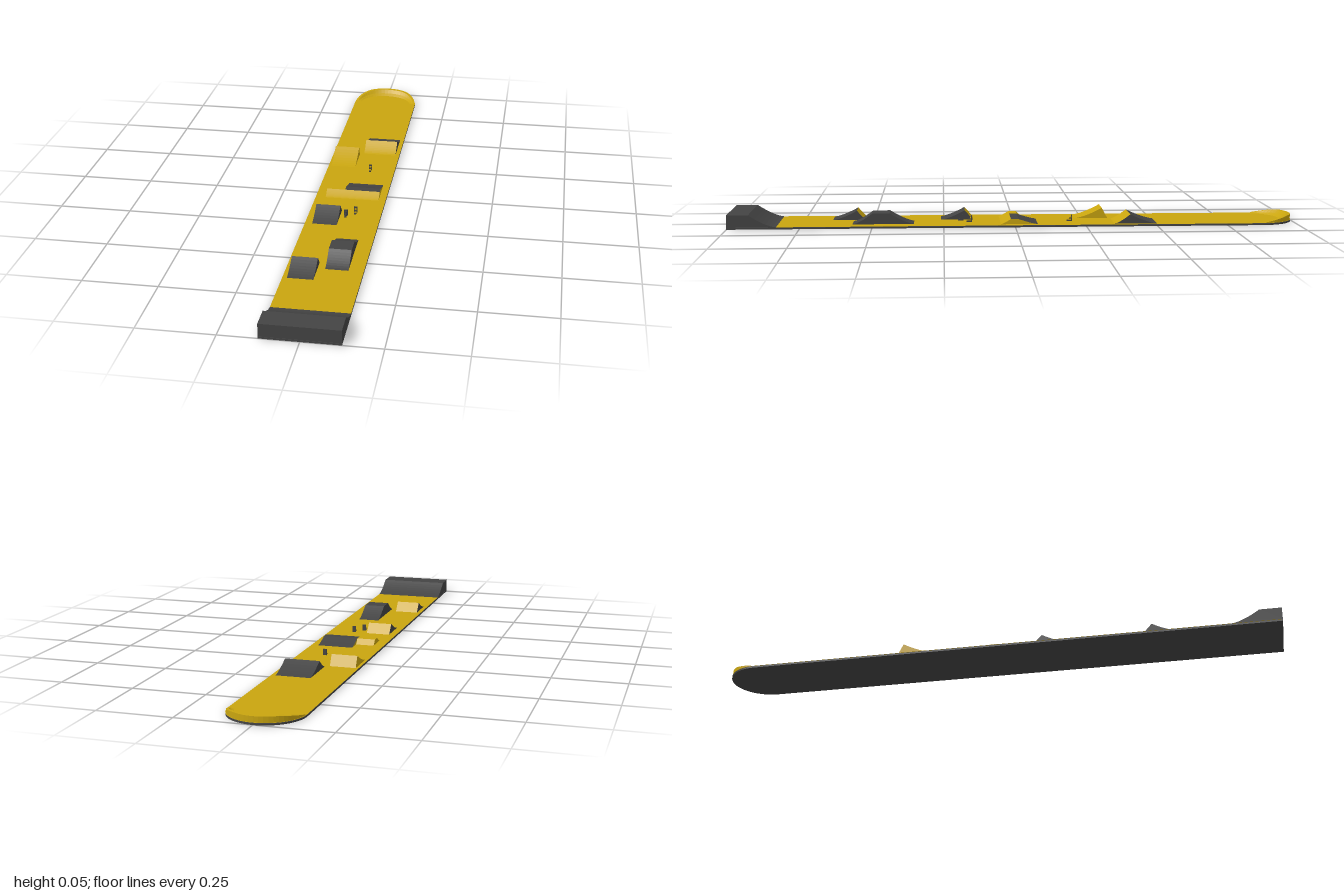
import * as THREE from 'three';

const DECK = 0.007; // deck thickness
const mat = (color) => new THREE.MeshStandardMaterial({ color, flatShading: true, side: THREE.DoubleSide });

export function createModel() {
  const group = new THREE.Group();
  const yellow = mat(0xc9a50f);
  const dark = mat(0x444444);

  const add = (name, geometry, material, parent = group) => {
    const mesh = new THREE.Mesh(geometry, material);
    mesh.name = name;
    parent.add(mesh);
    return mesh;
  };

  // Grid surface from a point function p(i, j)
  const surface = (rows, cols, p) => {
    const pos = [], idx = [];
    for (let i = 0; i <= rows; i++) for (let j = 0; j <= cols; j++) pos.push(...p(i, j));
    for (let i = 0; i < rows; i++) for (let j = 0; j < cols; j++) {
      const a = i * (cols + 1) + j, b = a + cols + 1;
      idx.push(a, b, a + 1, b, b + 1, a + 1);
    }
    const g = new THREE.BufferGeometry();
    g.setAttribute('position', new THREE.Float32BufferAttribute(pos, 3));
    g.setIndex(idx);
    g.computeVertexNormals();
    return g;
  };

  // Deck: long board with a rounded far end, yellow on top, dark below
  const R = 0.125;
  const outline = new THREE.Shape();
  outline.moveTo(-R, -1);
  outline.lineTo(R, -1);
  outline.lineTo(R, 1 - R);
  outline.absarc(0, 1 - R, R, 0, Math.PI, false);
  outline.closePath();
  const deck = new THREE.ExtrudeGeometry(outline, { depth: DECK - 0.001, bevelEnabled: false, curveSegments: 32 });
  add('deckBase', deck.rotateX(-Math.PI / 2), dark);
  const top = new THREE.ShapeGeometry(outline, 32).rotateX(-Math.PI / 2).translate(0, DECK, 0);
  add('deckSurface', top, yellow);

  // Ramp across x0..x1: toe, crest, crest, toe along z, with curved or straight faces
  const ramp = (name, o) => {
    const part = new THREE.Group();
    part.name = name;
    group.add(part);
    const face = (toe, crest, power) => {
      const n = power === 1 ? 1 : 8, pts = [];
      for (let i = 0; i <= n; i++) {
        const t = i / n;
        pts.push([toe + (crest - toe) * t, DECK + (o.h - DECK) * t ** power]);
      }
      return pts;
    };
    const [z0, z1, z2, z3] = o.z;
    const [x0, x1] = o.x;
    const front = face(z0, z1, o.front ?? 1);
    const back = face(z3, z2, o.back ?? 1).reverse();
    const strip = (pts) => surface(pts.length - 1, 1, (i, j) => [j ? x1 : x0, pts[i][1], pts[i][0]]);
    add('frontFace', strip(front), o.colors[0], part);
    if (z1 !== z2) add('tableTop', strip([[z1, o.h], [z2, o.h]]), o.colors[1], part);
    add('backFace', strip(back), o.colors[1], part);
    const profile = new THREE.Shape([...front, ...back].map(([z, y]) => new THREE.Vector2(z, y)));
    for (const x of [x0, x1]) {
      add('sideWall', new THREE.ShapeGeometry(profile).rotateY(-Math.PI / 2).translate(x, 0, 0), o.colors[2], part);
    }
  };

  ramp('startPlatform', { x: [-R, R], z: [1, 1, 0.925, 0.83], h: 0.05, back: 1.5, colors: [dark, dark, dark] });
  ramp('firstKicker', { x: [-0.11, -0.025], z: [0.645, 0.56, 0.56, 0.53], h: 0.04, front: 1.4, colors: [dark, yellow, dark] });
  ramp('tableJump', { x: [0, 0.075], z: [0.57, 0.5, 0.44, 0.355], h: 0.045, front: 1.4, back: 1.4, colors: [dark, dark, dark] });
  ramp('secondKicker', { x: [-0.1, -0.015], z: [0.26, 0.175, 0.175, 0.145], h: 0.04, front: 1.4, colors: [dark, yellow, dark] });
  ramp('centreRoller', { x: [-0.025, 0.1], z: [0.05, 0.015, -0.012, -0.08], h: 0.025, front: 1.2, back: 1.3, colors: [yellow, dark, yellow] });
  ramp('centreStep', { x: [-0.09, -0.025], z: [0.05, 0.015, -0.012, -0.03], h: 0.025, front: 1.2, colors: [yellow, yellow, yellow] });
  ramp('thirdKicker', { x: [-0.115, -0.025], z: [-0.22, -0.32, -0.32, -0.34], h: 0.044, front: 1.5, colors: [yellow, yellow, yellow] });
  ramp('landingRamp', { x: [-0.01, 0.11], z: [-0.35, -0.405, -0.405, -0.5], h: 0.04, front: 1.3, back: 1.4, colors: [yellow, dark, dark] });

  // Crescent bank around the rounded end: toe, banked face, flat rim, outer wall
  const section = (a) => {
    const s = Math.sin(a), c = Math.cos(a);
    const h = DECK + 0.019 * Math.min(1, s * 1.25);
    const at = (rx, rz, y) => [rx * c, y, -(1 - R) - rz * s];
    return [
      at(0.102, 0.083, DECK), at(0.11, 0.096, DECK + (h - DECK) * 0.4),
      at(0.115, 0.109, h), at(0.123, 0.123, h), at(0.123, 0.123, DECK),
    ];
  };
  const steps = 24;
  add('endBank', surface(steps, 4, (i, j) => section(0.08 + (Math.PI - 0.16) * i / steps)[j]), yellow);

  // Small upright markers with a stepped brace in front
  const marker = (x, z, stripe) => {
    const part = new THREE.Group();
    part.name = 'marker';
    part.position.set(x, DECK, z);
    group.add(part);
    const block = (name, w, h, d, y, dz, m) =>
      add(name, new THREE.BoxGeometry(w, h, d), m, part).position.set(0, y + h / 2, dz);
    block('board', 0.012, 0.022, 0.003, 0, -0.008, dark);
    for (let i = 0; i < 4; i++) {
      block('step', 0.007, 0.004, 0.016 - i * 0.004, i * 0.004, 0.0015 - i * 0.002, i % 2 ? stripe : dark);
    }
  };
  marker(0.035, -0.197, yellow);
  marker(0.035, 0.16, yellow);
  marker(0.005, 0.19, dark);

  return group;
}
